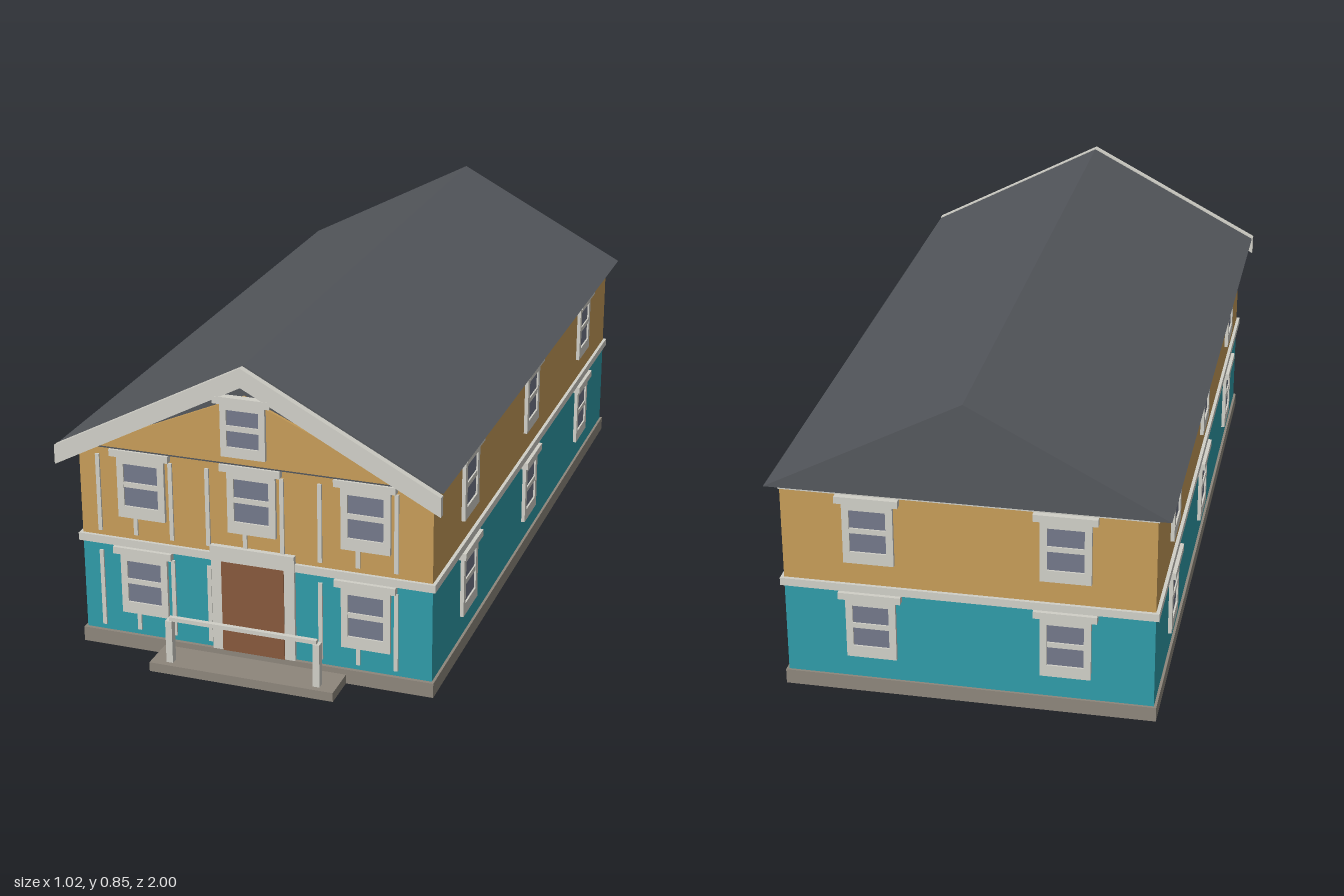
import * as THREE from 'three';

const mat = (name, color) => {
  const m = new THREE.MeshStandardMaterial({ color });
  m.name = name;
  return m;
};

export function createModel() {
  const teal = mat('teal siding', 0x2f9ba8);
  const ochre = mat('ochre siding', 0xc69c58);
  const slate = mat('slate roof', 0x54575c);
  const cream = mat('cream trim', 0xd0cfc7);
  const stone = mat('stone base', 0x8d867b);
  const brown = mat('brown door', 0x87593c);
  const glass = mat('window glass', 0x73788a);

  const house = new THREE.Group();
  house.name = 'house';

  // Box given by its minimum and maximum corners
  const box = (parent, name, m, x0, x1, y0, y1, z0, z1) => {
    const mesh = new THREE.Mesh(new THREE.BoxGeometry(x1 - x0, y1 - y0, z1 - z0), m);
    mesh.position.set((x0 + x1) / 2, (y0 + y1) / 2, (z0 + z1) / 2);
    mesh.name = name;
    parent.add(mesh);
    return mesh;
  };
  // Outline in x, y extruded from z0 to z1
  const slab = (name, m, pts, z0, z1) => {
    const shape = new THREE.Shape(pts.map(([x, y]) => new THREE.Vector2(x, y)));
    const geo = new THREE.ExtrudeGeometry(shape, { depth: z1 - z0, bevelEnabled: false });
    const mesh = new THREE.Mesh(geo, m);
    mesh.position.z = z0;
    mesh.name = name;
    house.add(mesh);
  };

  // Base, two storeys and trim bands
  box(house, 'foundation', stone, -0.482, 0.482, 0, 0.04, -0.987, 0.9);
  box(house, 'lowerWalls', teal, -0.475, 0.475, 0.04, 0.3, -0.98, 0.89);
  box(house, 'upperWalls', ochre, -0.475, 0.475, 0.3, 0.576, -0.98, 0.89);
  box(house, 'middleBand', cream, -0.484, 0.484, 0.292, 0.313, -0.989, 0.899);
  box(house, 'eavesBand', cream, -0.479, 0.479, 0.565, 0.578, -0.984, 0.894);

  // Roof, front gable panel and bargeboard
  slab('roof', slate, [[-0.51, 0.577], [0.51, 0.577], [0, 0.845]], -1, 0.928);
  slab('gablePanel', ochre, [[-0.415, 0.585], [0.415, 0.585], [0, 0.766]], 0.928, 0.937);
  slab('bargeboard', cream,
    [[-0.512, 0.525], [0, 0.795], [0.512, 0.525], [0.512, 0.577], [0, 0.846], [-0.512, 0.577]],
    0.937, 0.955);

  // Sash window facing +z, origin at the bottom centre on the wall
  const addWindow = (name, x, y, z, turn, w = 0.13, h = 0.17) => {
    const g = new THREE.Group();
    g.name = name;
    const o = w / 2, s = w * 0.36, b = h * 0.19, t = h * 0.88, mid = h * 0.54;
    for (const side of [-1, 1]) {
      const c = side * (o + s) / 2, half = (o - s) / 2;
      box(g, 'windowJamb', cream, c - half, c + half, 0, h, -0.002, 0.01);
    }
    box(g, 'windowSill', cream, -s, s, 0, b, -0.002, 0.01);
    box(g, 'windowHead', cream, -s, s, t, h, -0.002, 0.01);
    box(g, 'windowPane', glass, -s, s, b, t, -0.002, 0.005);
    box(g, 'windowRail', cream, -s, s, mid - 0.007, mid + 0.007, 0.004, 0.009);
    box(g, 'windowLintel', cream, -o - 0.016, o + 0.016, h, h + 0.019, -0.002, 0.019);
    g.position.set(x, y, z);
    g.rotation.y = turn;
    house.add(g);
  };

  for (const y of [0.103, 0.376]) {
    for (const x of [-0.302, 0.302]) addWindow('frontWindow', x, y, 0.89, 0);
    for (const x of [-0.25, 0.25]) addWindow('backWindow', x, y, -0.98, Math.PI);
    for (const z of [0.58, -0.04, -0.665]) {
      addWindow('leftWindow', 0.475, y, z, Math.PI / 2);
      addWindow('rightWindow', -0.475, y, z, -Math.PI / 2);
    }
  }
  addWindow('frontWindow', 0, 0.376, 0.89, 0);
  addWindow('gableWindow', 0, 0.605, 0.937, 0, 0.118, 0.142);

  // Vertical battens on the front, cut short below windows
  for (let i = 0; i < 9; i++) {
    const x = -0.423 + i * 0.1005;
    const side = i === 1 || i === 7;
    if (i !== 4 && i !== 5) {
      box(house, 'lowerBatten', cream, x - 0.0055, x + 0.0055, 0.055, side ? 0.104 : 0.27, 0.888, 0.895);
    }
    box(house, 'upperBatten', cream, x - 0.0055, x + 0.0055, 0.327, side || i === 4 ? 0.377 : 0.541, 0.888, 0.895);
  }

  // Front door and its surround
  box(house, 'door', brown, -0.085, 0.085, 0.04, 0.294, 0.888, 0.902);
  for (const s of [-1, 1]) {
    box(house, 'doorJamb', cream, s * 0.099 - 0.014, s * 0.099 + 0.014, 0.04, 0.294, 0.888, 0.9);
  }
  box(house, 'doorHead', cream, -0.114, 0.114, 0.294, 0.335, 0.888, 0.904);

  // Front step with a railing
  box(house, 'step', stone, -0.25, 0.25, 0, 0.025, 0.89, 1);
  for (const s of [-1, 1]) {
    box(house, 'railPost', cream, s * 0.2 - 0.009, s * 0.2 + 0.009, 0.025, 0.143, 0.964, 0.984);
  }
  box(house, 'handrail', cream, -0.2, 0.2, 0.142, 0.153, 0.968, 0.98);

  return house;
}
